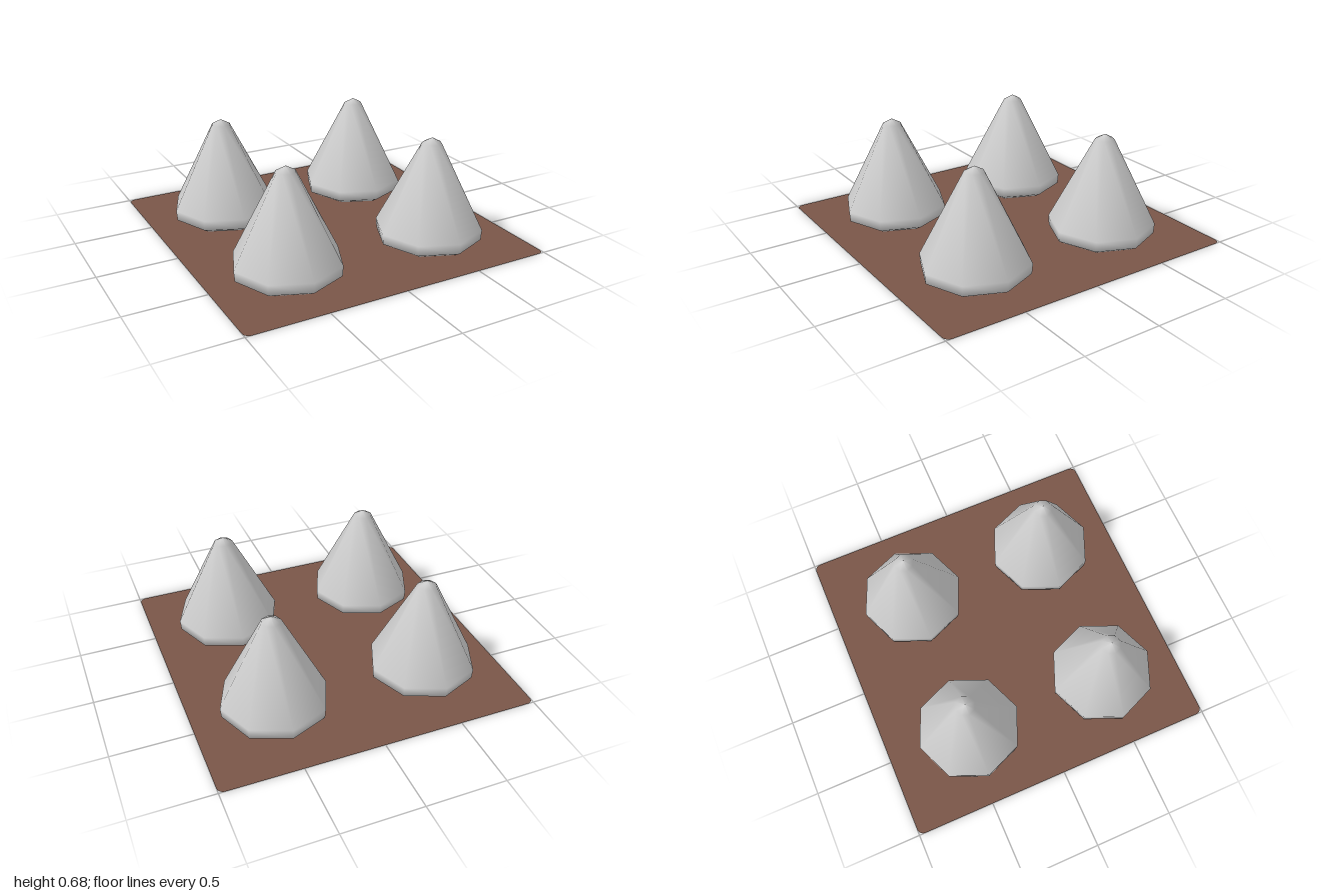
import * as THREE from 'three';

export function createModel() {
  const model = new THREE.Group();
  const grey = new THREE.MeshStandardMaterial({ color: 0xcccccc });
  const brown = new THREE.MeshStandardMaterial({ color: 0x795548, side: THREE.DoubleSide });

  // Flat square sheet with small rounded corners
  const r = 0.04;
  const sheet = new THREE.Shape();
  sheet.absarc(1 - r, 1 - r, r, 0, Math.PI / 2);
  sheet.absarc(-1 + r, 1 - r, r, Math.PI / 2, Math.PI);
  sheet.absarc(-1 + r, -1 + r, r, Math.PI, Math.PI * 1.5);
  sheet.absarc(1 - r, -1 + r, r, Math.PI * 1.5, Math.PI * 2);
  const ground = new THREE.Mesh(new THREE.ShapeGeometry(sheet, 4).rotateX(-Math.PI / 2), brown);
  ground.name = 'groundSheet';
  model.add(ground);

  // Eight-sided cone with bevelled foot and blunt tip, smooth shaded
  const profile = [
    [0, 0.002], [0.275, 0.002], [0.333, 0.035], [0.338, 0.1], [0.06, 0.645], [0, 0.678],
  ].map(([x, y]) => new THREE.Vector2(x, y));
  const coneGeometry = new THREE.LatheGeometry(profile, 8);

  // Two by two arrangement
  for (const x of [-0.505, 0.487]) {
    for (const z of [-0.455, 0.493]) {
      const cone = new THREE.Mesh(coneGeometry, grey);
      cone.position.set(x, 0, z);
      cone.name = `${z > 0 ? 'front' : 'back'}${x > 0 ? 'Left' : 'Right'}Cone`;
      model.add(cone);
    }
  }
  return model;
}
